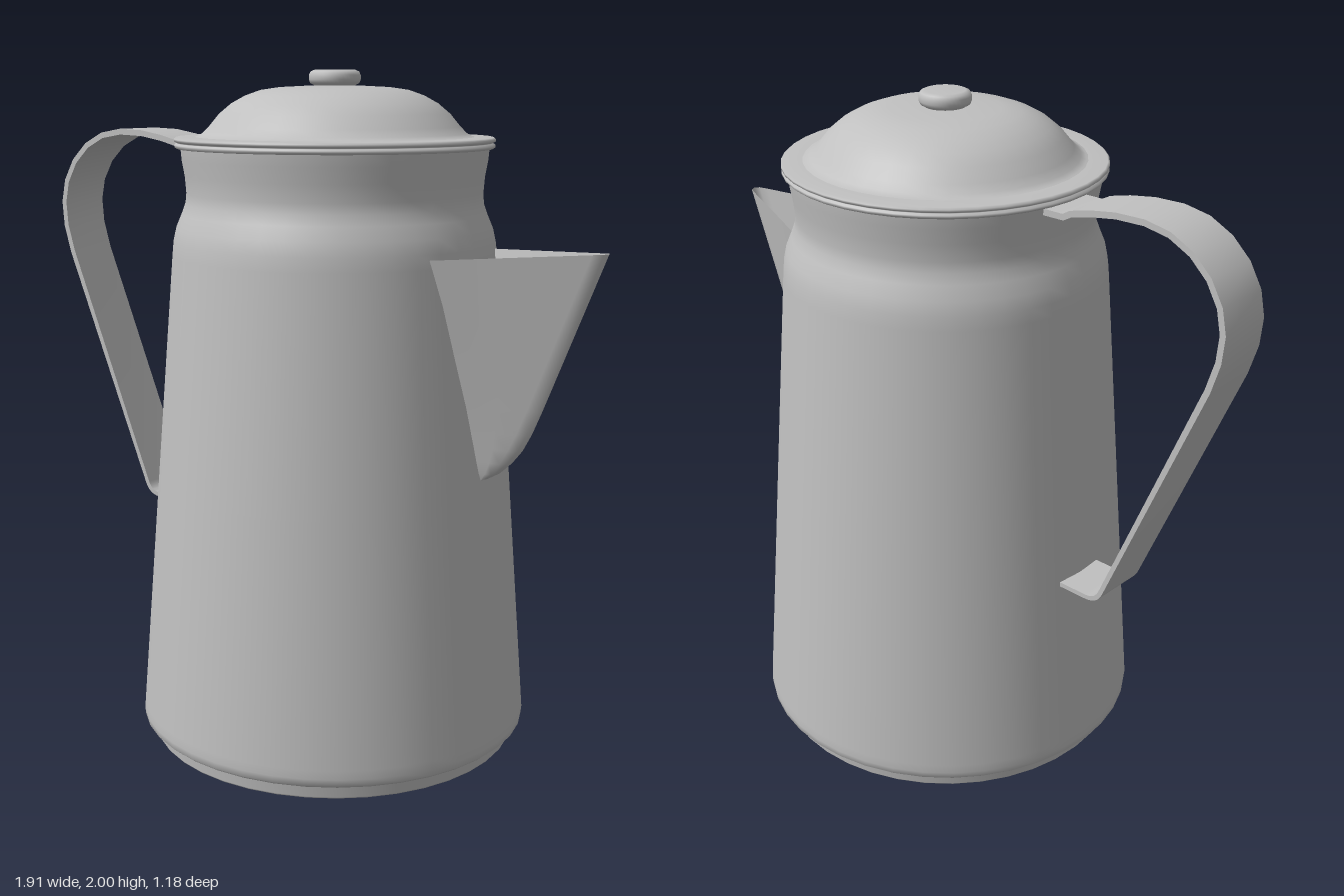
import * as THREE from 'three';
import { toCreasedNormals } from 'three/addons/utils/BufferGeometryUtils.js';

const AXIS = 0.075; // the pot's centre line in x

export function createModel() {
  const pot = new THREE.Group();
  pot.name = 'coffeePot';
  const metal = new THREE.MeshStandardMaterial({ color: 0xc0c0c0 });
  metal.name = 'greyMetal';
  const sheet = new THREE.MeshStandardMaterial({ color: 0xc0c0c0, side: THREE.DoubleSide });
  sheet.name = 'greySheetMetal';

  const add = (name, geometry, material = metal) => {
    const mesh = new THREE.Mesh(geometry, material);
    mesh.name = name;
    pot.add(mesh);
  };
  // Round parts turned about the pot's axis, profile given as [radius, y]
  const turn = (name, profile) => {
    const points = profile.map(([r, y]) => new THREE.Vector2(r, y));
    add(name, new THREE.LatheGeometry(points, 40).translate(AXIS, 0, 0));
  };

  // Tapered body with a stepped foot and a waisted neck
  turn('body', [
    [0, 0.004], [0.535, 0.004], [0.55, 0], [0.555, 0.006], [0.555, 0.04], [0.56, 0.044],
    [0.578, 0.047], [0.588, 0.056], [0.59, 0.075], [0.588, 0.1], [0.532, 0.8], [0.478, 1.47],
    [0.474, 1.51], [0.465, 1.55], [0.448, 1.59], [0.437, 1.62], [0.434, 1.65],
    [0.438, 1.7], [0.446, 1.745], [0.449, 1.78],
  ]);

  // Domed lid with a double rim
  turn('lidRim', [
    [0.44, 1.778], [0.46, 1.778], [0.466, 1.783], [0.466, 1.789], [0.459, 1.793],
    [0.459, 1.795], [0.467, 1.799], [0.467, 1.805], [0.461, 1.81], [0.4, 1.811],
  ]);
  turn('lidDome', [
    [0.42, 1.808], [0.4, 1.812], [0.385, 1.82], [0.365, 1.84], [0.335, 1.876], [0.3, 1.905],
    [0.26, 1.927], [0.215, 1.943], [0.16, 1.951], [0.08, 1.955], [0, 1.956],
  ]);
  turn('lidKnob', [
    [0.058, 1.95], [0.06, 1.957], [0.071, 1.962], [0.075, 1.972], [0.075, 1.985],
    [0.07, 1.995], [0.058, 2], [0, 2],
  ]);

  // Strap handle: a curve thickened in the plane, then extruded across
  const path = new THREE.CurvePath();
  const v = (x, y) => new THREE.Vector3(x, y, 0);
  path.add(new THREE.LineCurve3(v(-0.36, 1.765), v(-0.43, 1.766)));
  path.add(new THREE.LineCurve3(v(-0.43, 1.766), v(-0.455, 1.78)));
  path.add(new THREE.CatmullRomCurve3([
    v(-0.455, 1.78), v(-0.55, 1.802), v(-0.68, 1.813), v(-0.79, 1.792), v(-0.88, 1.73),
    v(-0.935, 1.64), v(-0.946, 1.54), v(-0.915, 1.42),
  ]));
  path.add(new THREE.LineCurve3(v(-0.915, 1.42), v(-0.61, 0.68)));
  path.add(new THREE.QuadraticBezierCurve3(v(-0.61, 0.68), v(-0.595, 0.645), v(-0.555, 0.645)));
  path.add(new THREE.LineCurve3(v(-0.555, 0.645), v(-0.455, 0.645)));
  const spine = path.getPoints(10);
  const outer = [], inner = [];
  spine.forEach((p, i) => {
    const a = spine[Math.max(i - 1, 0)], b = spine[Math.min(i + 1, spine.length - 1)];
    const d = b.clone().sub(a).normalize();
    const half = p.y > 1.4 ? 0.009 : 0.007;
    outer.push(new THREE.Vector2(p.x + d.y * half, p.y - d.x * half));
    inner.unshift(new THREE.Vector2(p.x - d.y * half, p.y + d.x * half));
  });
  const strap = new THREE.ExtrudeGeometry(new THREE.Shape([...outer, ...inner]), {
    depth: 0.17, bevelEnabled: false,
  }).translate(0, 0, -0.085);
  add('handle', toCreasedNormals(strap, 0.6));

  // Open V-shaped spout, lofted upwards through rows of [y, nose x, half width at body]
  const rows = [
    [0.862, 0.605, 0.03], [0.885, 0.645, 0.036], [0.92, 0.683, 0.045], [0.96, 0.715, 0.054],
    [1.01, 0.742, 0.066], [1.08, 0.772, 0.083], [1.25, 0.84, 0.124], [1.495, 0.94, 0.185],
  ];
  const positions = [], indices = [];
  const across = 9;
  rows.forEach(([y, nose, w], r) => {
    const bodyR = 0.588 - (y - 0.1) * 0.0803;
    const root = AXIS + Math.sqrt(bodyR * bodyR - w * w) - 0.008;
    const tipW = Math.min(0.028, w * 0.8);
    const lift = r === rows.length - 1 ? 0.03 : 0;
    const depth = nose - root;
    const half = [
      [root, w], [root + depth * 0.45, tipW + (w - tipW) * 0.5],
      [nose - Math.min(0.035, depth * 0.25), tipW], [nose - 0.008, tipW * 0.6],
    ];
    const section = [...half, [nose, 0], ...half.map(([x, z]) => [x, -z]).reverse()];
    section.forEach(([x, z]) => {
      const t = (x - root) / depth;
      positions.push(x + lift * 0.33 * t, y + lift * t, z);
    });
  });
  for (let r = 0; r < rows.length - 1; r++) {
    for (let c = 0; c < across - 1; c++) {
      const a = r * across + c, b = a + across;
      indices.push(a, a + 1, b, a + 1, b + 1, b);
    }
  }
  const spout = new THREE.BufferGeometry();
  spout.setAttribute('position', new THREE.Float32BufferAttribute(positions, 3));
  spout.setIndex(indices);
  spout.computeVertexNormals();
  add('spout', spout, sheet);

  return pot;
}
